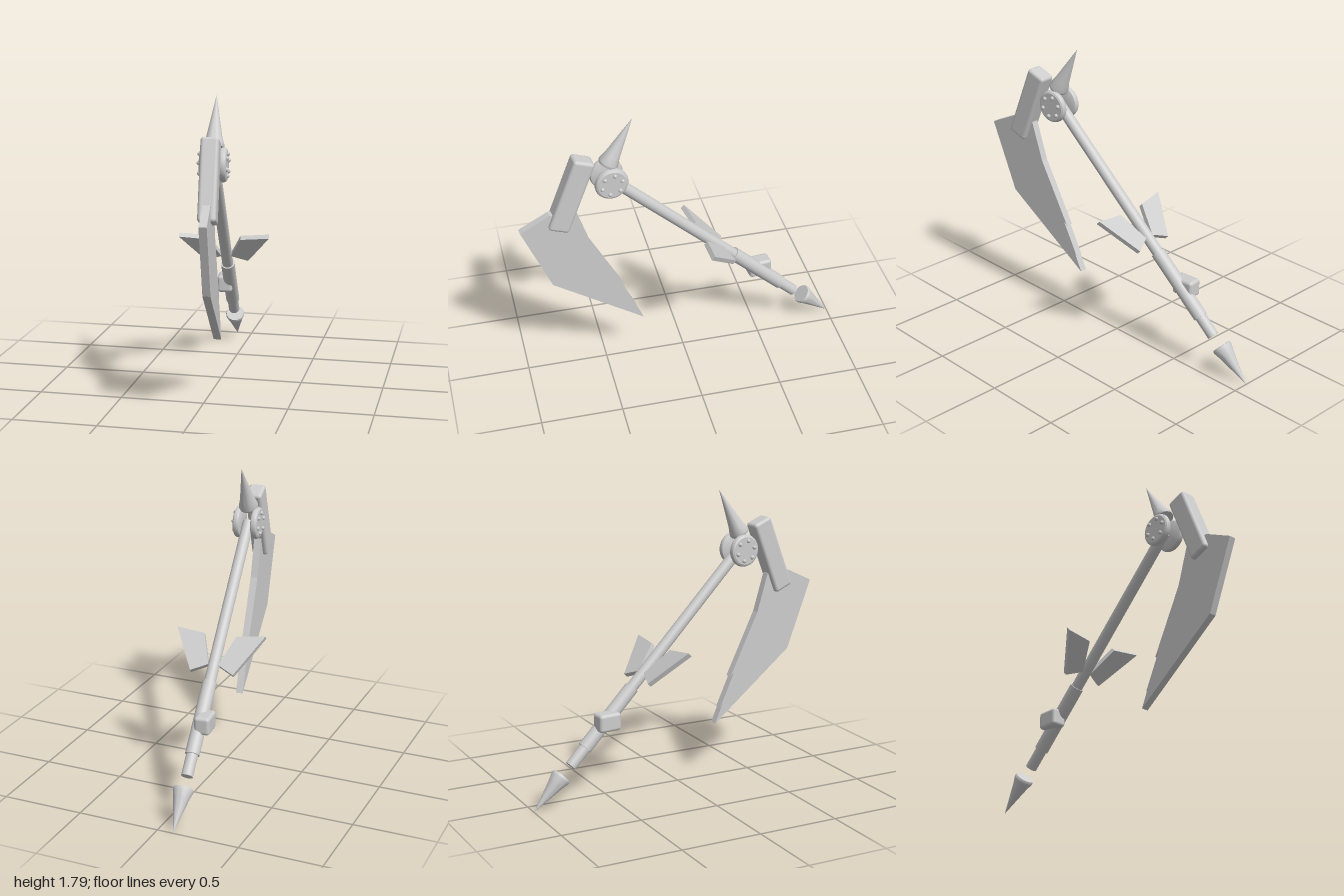
import * as THREE from 'three';
import { toCreasedNormals } from 'three/addons/utils/BufferGeometryUtils.js';
import { RoundedBoxGeometry } from 'three/addons/geometries/RoundedBoxGeometry.js';

export function createModel() {
  const grey = new THREE.MeshStandardMaterial({ color: 0xcccccc });
  grey.name = 'metal grey';

  const model = new THREE.Group();
  model.name = 'scythe';
  // The whole weapon lies in one upright plane, turned slightly about y
  const body = new THREE.Group();
  body.name = 'weapon';
  body.rotation.y = 0.1036;
  body.position.x = 0.006;
  model.add(body);

  const add = (name, geometry, parent = body) => {
    const mesh = new THREE.Mesh(geometry, grey);
    mesh.name = name;
    parent.add(mesh);
    return mesh;
  };
  const vec = (pairs) => pairs.map(([a, b]) => new THREE.Vector2(a, b));
  const lathe = (pairs, sides = 32) =>
    toCreasedNormals(new THREE.LatheGeometry(vec(pairs), sides), 0.5);

  // Shaft frame: origin at the hub, y running up along the shaft
  const hubY = 1.41, hubZ = 0.455;
  const shaftFrame = new THREE.Group();
  shaftFrame.name = 'shaftAssembly';
  shaftFrame.position.set(0, hubY, hubZ);
  shaftFrame.rotation.x = Math.atan2(0.718, 0.696);
  body.add(shaftFrame);

  const rod = (name, radius, top, bottom) =>
    add(name, new THREE.CylinderGeometry(radius, radius, top - bottom, 32), shaftFrame)
      .position.y = (top + bottom) / 2;
  rod('shaft', 0.035, 0, -1.685);
  rod('grip', 0.043, -1.09, -1.55);

  // Mirrored fins, flat along the shaft
  for (const side of [-1, 1]) {
    const outline = [[0.277, -0.764], [0.1, -0.786], [0.03, -0.982], [0.133, -1.035]];
    const shape = new THREE.Shape(vec(outline.map(([x, y]) => [x * side, y])));
    const geometry = new THREE.ExtrudeGeometry(shape, { depth: 0.03, bevelEnabled: false });
    geometry.translate(0, 0, -0.015);
    add(side > 0 ? 'leftFin' : 'rightFin', geometry, shaftFrame);
  }

  // Hub: two rounded discs, each with a ring of six rivets
  const discProfile = [[0, 0.035], [0.085, 0.035], [0.095, 0.04], [0.1, 0.05],
    [0.1, 0.06], [0.095, 0.071], [0.085, 0.077], [0, 0.077]];
  for (const side of [-1, 1]) {
    const hub = new THREE.Group();
    hub.name = side > 0 ? 'leftHub' : 'rightHub';
    hub.position.set(0, hubY, hubZ);
    hub.rotation.z = -side * Math.PI / 2;
    body.add(hub);
    add('hubDisc', lathe(discProfile, 40), hub);
    for (let i = 0; i < 6; i++) {
      const a = 0.25 + i * Math.PI / 3;
      add('rivet', new THREE.SphereGeometry(0.013, 12, 8), hub)
        .position.set(0.063 * Math.cos(a), 0.078, 0.063 * Math.sin(a));
    }
  }

  // Spikes with a flared collar, given base and tip as [z, y]
  const spike = (name, base, tip) => {
    const dir = new THREE.Vector3(0, tip[1] - base[1], tip[0] - base[0]);
    const length = dir.length();
    const mesh = add(name, lathe([[0, 0], [0.056, 0], [0.06, 0.008], [0.06, 0.018],
      [0.046, 0.065], [0, length]]));
    mesh.position.set(0, base[1], base[0]);
    mesh.quaternion.setFromUnitVectors(new THREE.Vector3(0, 1, 0), dir.normalize());
  };
  spike('topSpike', [0.46, 1.507], [0.303, 1.79]);
  spike('buttSpike', [-0.815, 0.19], [-1.005, 0]);

  // Block that carries the blade
  const block = add('bladeSocket', new RoundedBoxGeometry(0.105, 0.48, 0.13, 3, 0.02));
  block.position.set(0, 1.356, 0.69);
  block.rotation.x = Math.atan2(-0.178, 0.444);

  // Small box on the grip
  add('gripBox', new RoundedBoxGeometry(0.095, 0.11, 0.145, 3, 0.02))
    .position.set(-0.033, 0.48, -0.519);

  // Blade outline as [z, y], with notches along the inner edge
  const outline = [[1.003, 1.16], [0.824, 1.245], [0.664, 1.24], [0.588, 1.0],
    [0.386, 0.612], [0.412, 0.635], [0.308, 0.422], [0.326, 0.447],
    [0.271, 0.325], [0.83, 0.734]];
  const blade = new THREE.ExtrudeGeometry(new THREE.Shape(vec(outline)),
    { depth: 0.045, bevelEnabled: false });
  blade.rotateY(-Math.PI / 2).translate(0.0225, 0, 0);
  add('blade', blade);

  return model;
}
